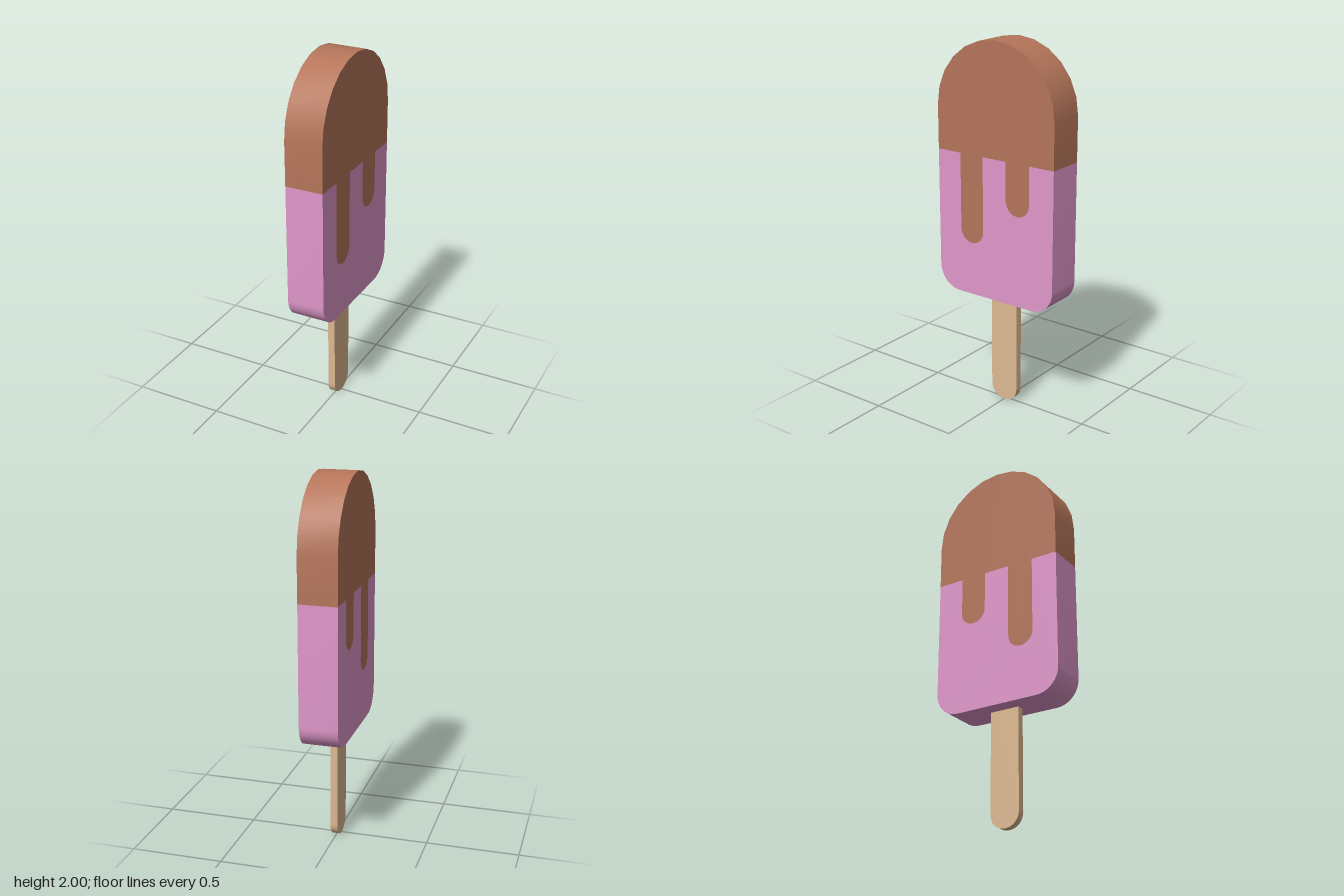
import * as THREE from 'three';
import { toCreasedNormals } from 'three/addons/utils/BufferGeometryUtils.js';

const HALF = 0.367;      // half width of the ice body along z
const SEAM = 1.395;      // height where coating meets ice
const BOTTOM = 0.62;     // underside of the ice
const DRIP_R = 0.073;
const DRIPS = [          // z centre and lowest point of each drip
  { z: -0.146, low: 1.115 },
  { z: 0.148, low: 0.912 },
];

// Extrudes a (z, y) outline along x, centred on x = 0
function slab(name, shape, thickness, color) {
  const flat = new THREE.ExtrudeGeometry(shape, { depth: thickness, bevelEnabled: false, curveSegments: 6 });
  flat.translate(0, 0, -thickness / 2);
  flat.rotateY(-Math.PI / 2);
  const mesh = new THREE.Mesh(toCreasedNormals(flat, 0.6), new THREE.MeshStandardMaterial({ color }));
  mesh.name = name;
  return mesh;
}

// Follows the drips along the seam, towards +z (dir 1) or -z (dir -1)
function traceDrips(shape, dir) {
  const order = dir > 0 ? DRIPS : [...DRIPS].reverse();
  for (const { z, low } of order) {
    const cy = low + DRIP_R;
    shape.lineTo(z - dir * DRIP_R, SEAM);
    shape.lineTo(z - dir * DRIP_R, cy);
    if (dir > 0) shape.absarc(z, cy, DRIP_R, Math.PI, 2 * Math.PI, false);
    else shape.absarc(z, cy, DRIP_R, 2 * Math.PI, Math.PI, true);
    shape.lineTo(z + dir * DRIP_R, SEAM);
  }
}

// Straight sides with two rounded bottom corners, from top -z to top +z
function traceRoundedBottom(shape, half, bottom, top, r) {
  shape.moveTo(-half, top);
  shape.lineTo(-half, bottom + r);
  shape.absarc(-half + r, bottom + r, r, Math.PI, 1.5 * Math.PI, false);
  shape.absarc(half - r, bottom + r, r, 1.5 * Math.PI, 2 * Math.PI, false);
  shape.lineTo(half, top);
}

export function createModel() {
  const model = new THREE.Group();
  model.name = 'icePop';

  // Domed coating with drips running down both faces
  const coating = new THREE.Shape();
  coating.moveTo(HALF, 2 - HALF);
  coating.absarc(0, 2 - HALF, HALF, 0, Math.PI, false);
  coating.lineTo(-HALF, SEAM);
  traceDrips(coating, 1);
  coating.lineTo(HALF, SEAM);
  model.add(slab('coating', coating, 0.206, 0xb5755a));

  // Ice body, slotted to fit the drips flush
  const ice = new THREE.Shape();
  traceRoundedBottom(ice, HALF, BOTTOM, SEAM, 0.13);
  traceDrips(ice, -1);
  model.add(slab('iceBody', ice, 0.206, 0xe098cb));

  // Flat stick with a rounded end, tucked into the ice
  const stick = new THREE.Shape();
  traceRoundedBottom(stick, 0.083, 0, BOTTOM + 0.1, 0.08);
  model.add(slab('stick', stick, 0.04, 0xdeb992));

  return model;
}
